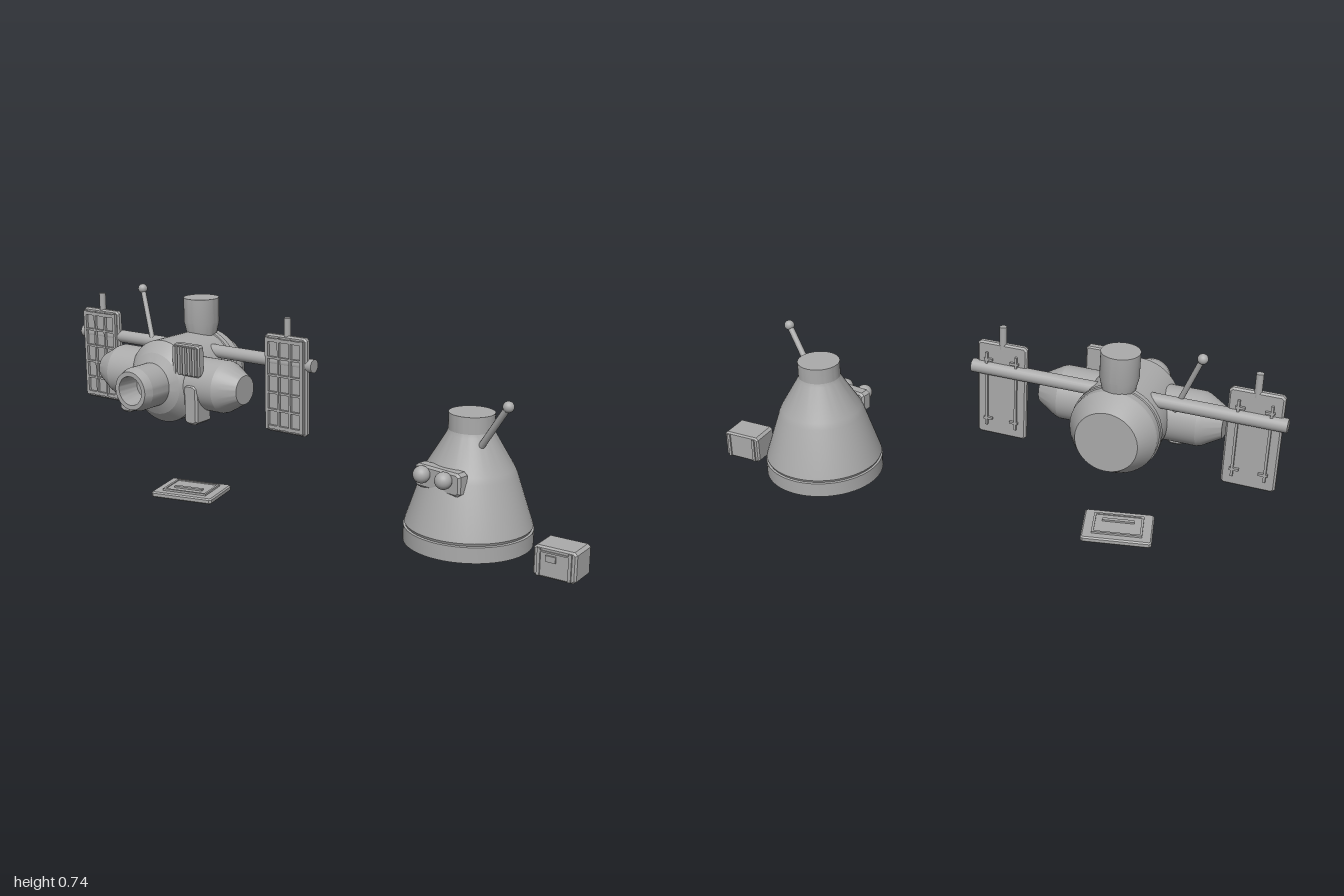
import * as THREE from 'three';
import { toCreasedNormals } from 'three/addons/utils/BufferGeometryUtils.js';

const grey = new THREE.MeshStandardMaterial({ color: 0xaaaaaa });
grey.name = 'plain grey';

function add(parent, name, geometry, x = 0, y = 0, z = 0) {
  const mesh = new THREE.Mesh(geometry, grey);
  mesh.name = name;
  mesh.position.set(x, y, z);
  parent.add(mesh);
  return mesh;
}

function group(parent, name, x, y, z, turn = 0) {
  const g = new THREE.Group();
  g.name = name;
  g.position.set(x, y, z);
  g.rotation.y = turn;
  parent.add(g);
  return g;
}

// Turned solid from [radius, height] pairs, crisp at the steps
function turned(profile, sides = 48) {
  const points = profile.map(([r, h]) => new THREE.Vector2(r, h));
  return toCreasedNormals(new THREE.LatheGeometry(points, sides), 0.3);
}

const box = (w, h, d) => new THREE.BoxGeometry(w, h, d);

// Box with its corners and front and back edges cut at an angle
function chamferBox(w, h, d, c = 0.008) {
  const a = w / 2 - c, b = h / 2 - c, k = c * 0.6;
  const shape = new THREE.Shape([
    [-a, -b - c + k], [-a + k, -b - c], [a - k, -b - c], [a, -b - c + k],
    [a, b + c - k], [a - k, b + c], [-a + k, b + c], [-a, b + c - k],
  ].map(([x, y]) => new THREE.Vector2(x * (w - 2 * k) / (w - 2 * c), y * (h - 2 * k) / h)));
  const g = new THREE.ExtrudeGeometry(shape, {
    depth: d - 2 * k, bevelEnabled: true, bevelSize: k, bevelThickness: k, bevelSegments: 1,
  });
  return g.translate(0, 0, -d / 2 + k);
}

// Rod with a ball at its far end
function antenna(parent, from, to, rodRadius, ballRadius) {
  const a = new THREE.Vector3(...from), b = new THREE.Vector3(...to);
  const path = new THREE.LineCurve3(a, b);
  const g = group(parent, 'antenna', 0, 0, 0);
  add(g, 'antennaRod', new THREE.TubeGeometry(path, 1, rodRadius, 12));
  add(g, 'antennaBall', new THREE.SphereGeometry(ballRadius, 20, 14), b.x, b.y, b.z);
}

function solarPanel(parent, x) {
  const g = group(parent, 'solarPanel', x, 0.467, 0.01);
  const w = 0.174, h = 0.342;
  add(g, 'panelBoard', chamferBox(w, h, 0.024, 0.01));
  add(g, 'panelPost', new THREE.CylinderGeometry(0.012, 0.012, 0.08, 16), 0, 0.191, -0.002);
  // raised frame and grid on the front
  for (let i = 0; i <= 3; i++) {
    const t = i % 3 ? 0.007 : 0.012;
    add(g, 'gridBar', box(t, h - 0.02, 0.012), (i - 1.5) * 0.048, 0, 0.016);
  }
  for (let i = 0; i <= 5; i++) {
    const t = i % 5 ? 0.007 : 0.012;
    add(g, 'gridBar', box(w - 0.02, t, 0.011), 0, (i - 2.5) * 0.061, 0.016);
  }
  // rails and clips on the back
  for (const s of [-1, 1]) {
    add(g, 'backRail', box(0.008, 0.27, 0.01), s * 0.052, 0, -0.016);
    for (const y of [-0.11, 0.11]) add(g, 'railClip', box(0.03, 0.008, 0.01), s * 0.046, y, -0.016);
  }
}

function buildStation(root) {
  const g = group(root, 'station', -0.485, 0, -0.115, -0.23);
  const axisY = 0.452;

  // hull with a tapered back and an open docking port in front
  add(g, 'hull', turned([
    [0, -0.168], [0.103, -0.168], [0.142, -0.105], [0.145, -0.098], [0.145, -0.072],
    [0.149, -0.07], [0.149, -0.052], [0.145, -0.05], [0.145, 0.165], [0.108, 0.205],
    [0.076, 0.222], [0.076, 0.305], [0.066, 0.335], [0.05, 0.335], [0.046, 0.25], [0, 0.25],
  ]).rotateX(Math.PI / 2), 0, axisY, 0);

  // side modules with tapered ends
  for (const s of [-1, 1]) {
    add(g, 'sideModule', turned([
      [0, 0], [0.091, 0], [0.091, 0.235], [0.086, 0.25], [0.05, 0.312], [0, 0.312],
    ]).rotateZ(-s * Math.PI / 2), 0, axisY, 0.105);
    add(g, 'lowerBlock', chamferBox(0.058, 0.14, 0.08, 0.012), s * 0.148, 0.395, 0.16);
    solarPanel(g, s * 0.421);
  }

  // upright port on the roof
  add(g, 'roofPort', turned([
    [0, 0.55], [0.048, 0.55], [0.054, 0.59], [0.063, 0.63], [0.063, 0.717], [0, 0.717],
  ]), 0.003, 0, -0.05);

  // boom that carries the panels
  add(g, 'boom', new THREE.CylinderGeometry(0.023, 0.023, 1.05, 24).rotateZ(Math.PI / 2), 0, 0.543, 0);

  // ribbed radiator box
  const radiator = group(g, 'radiator', 0.131, 0.548, 0.18);
  add(radiator, 'radiatorBox', chamferBox(0.112, 0.11, 0.03));
  for (let i = -2; i <= 2; i++) add(radiator, 'radiatorRib', box(0.011, 0.096, 0.016), i * 0.021, 0, 0.02);

  antenna(root, [-0.648, 0.51, -0.135], [-0.722, 0.727, -0.195], 0.009, 0.017);
}

function buildCapsule(root) {
  const g = group(root, 'capsule', 0.592, 0, 0.092);
  add(g, 'capsuleHull', turned([
    [0, 0.041], [0.195, 0.041], [0.197, 0.037], [0.21, 0.037], [0.21, 0.089], [0.203, 0.091],
    [0.207, 0.1], [0.204, 0.11], [0.151, 0.27], [0.142, 0.29], [0.078, 0.398],
    [0.074, 0.41], [0.074, 0.465], [0, 0.465],
  ], 56));
  antenna(root, [0.635, 0.365, 0.155], [0.736, 0.528, 0.227], 0.011, 0.018);

  // twin sensor balls on a bracket
  const s = group(root, 'sensor', 0.53, 0.272, 0.212, -0.42);
  add(s, 'sensorBracket', chamferBox(0.182, 0.076, 0.045, 0.012));
  for (const x of [-0.05, 0.038]) {
    add(s, 'sensorBall', new THREE.SphereGeometry(0.028, 24, 16), x, 0.011, 0.036);
  }
}

function buildCrate(root) {
  const g = group(root, 'crate', 0.914, 0.052, 0.192, -0.25);
  add(g, 'crateBody', chamferBox(0.144, 0.102, 0.106, 0.01));
  for (const s of [-1, 1]) add(g, 'crateStrap', box(0.01, 0.09, 0.118), s * 0.052, 0, 0);
  add(g, 'crateLatch', box(0.034, 0.02, 0.008), -0.012, 0.015, 0.055);
  add(g, 'crateSeam', box(0.096, 0.005, 0.006), 0, 0.035, 0.054);
}

function buildTile(root) {
  const g = group(root, 'floorTile', -0.49, 0, -0.087);
  add(g, 'tileBase', chamferBox(0.24, 0.178, 0.021, 0.008).rotateX(-Math.PI / 2), 0, 0.0105, 0);
  add(g, 'tilePlate', box(0.172, 0.005, 0.12), 0, 0.0225, 0);
  // raised frame and centre bar
  for (const s of [-1, 1]) {
    add(g, 'tileFrame', box(0.172, 0.004, 0.008), 0, 0.026, s * 0.056);
    add(g, 'tileFrame', box(0.008, 0.004, 0.12), s * 0.082, 0.026, 0);
  }
  add(g, 'tileBar', box(0.11, 0.007, 0.014), 0, 0.0275, 0.02);
}

export function createModel() {
  const root = new THREE.Group();
  root.name = 'spaceSet';
  buildStation(root);
  buildCapsule(root);
  buildCrate(root);
  buildTile(root);
  return root;
}
